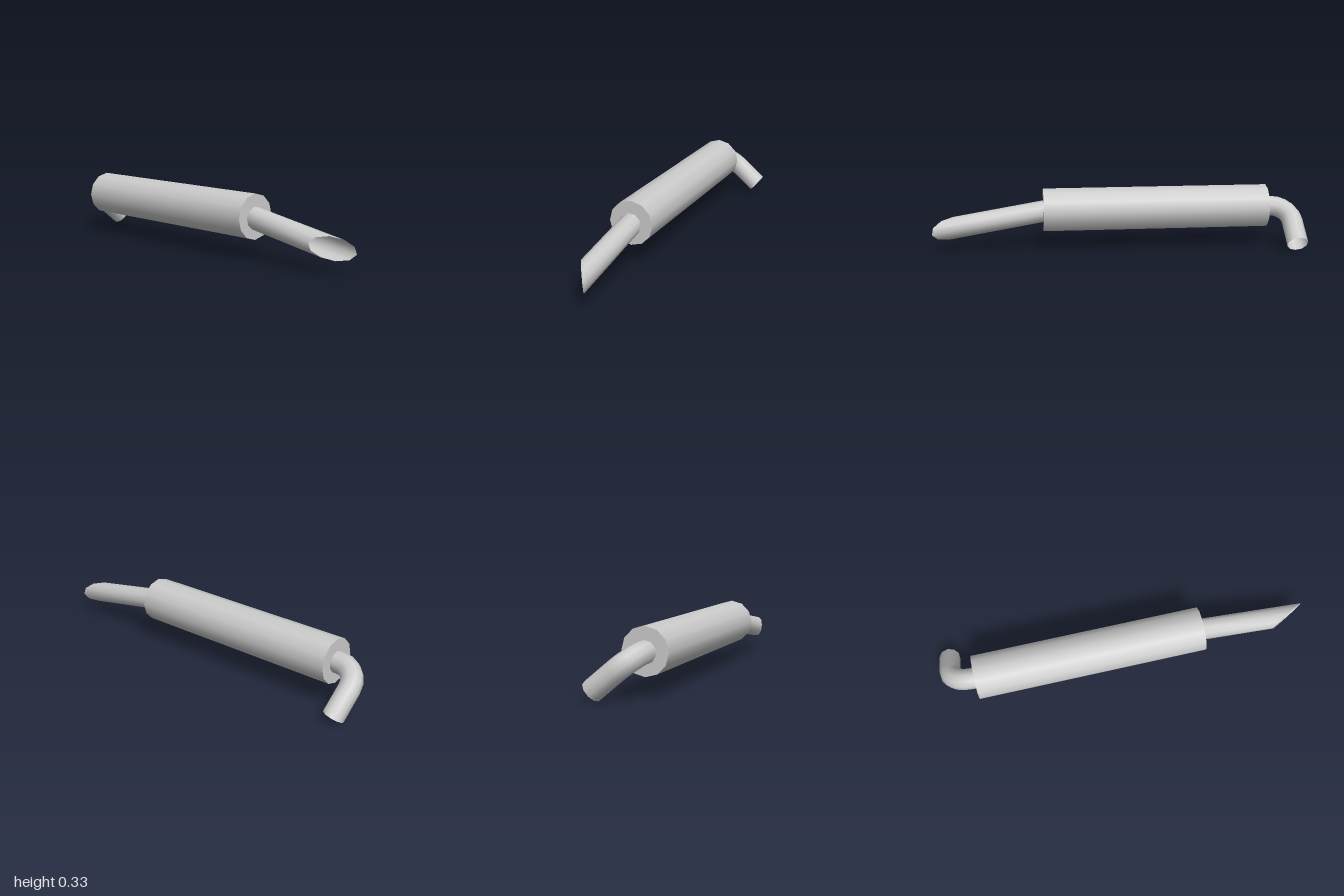
import * as THREE from 'three';
import { toCreasedNormals } from 'three/addons/utils/BufferGeometryUtils.js';

const SIDES = 10;
const PIPE_R = 0.058;

export function createModel() {
  const group = new THREE.Group();
  const solid = new THREE.MeshStandardMaterial({ color: 0xcccccc });
  const open = new THREE.MeshStandardMaterial({ color: 0xcccccc, side: THREE.DoubleSide });

  const add = (name, geometry, material, x, y, z) => {
    const mesh = new THREE.Mesh(geometry, material);
    mesh.name = name;
    mesh.position.set(x, y, z);
    group.add(mesh);
  };

  // Twelve-sided muffler drum lying along z
  const drum = new THREE.CylinderGeometry(0.118, 0.118, 1.22, 12).rotateX(Math.PI / 2);
  add('mufflerBody', drum, solid, -0.061, 0.218, -0.2);

  // Straight outlet pipe, sloping down, its open mouth cut at a slant
  const length = 0.512;
  const outlet = new THREE.CylinderGeometry(PIPE_R, PIPE_R, length, SIDES, 1, true)
    .rotateY(0.21)
    .rotateX(Math.PI / 2)
    .translate(0, 0, length / 2);
  const op = outlet.attributes.position;
  for (let i = 0; i < op.count; i++) {
    if (op.getZ(i) > length / 2) op.setZ(i, length + (0.1 * op.getX(i)) / PIPE_R);
  }
  outlet.rotateX(0.166);
  add('outletPipe', toCreasedNormals(outlet, 1), open, -0.063, 0.213, 0.4);

  // Inlet pipe: short straight, quarter bend, straight open end
  const bendR = 0.11, lead = 0.035, tail = 0.155, bendSteps = 5;
  const stations = [{ p: 0, q: 0, a: 0 }];
  for (let i = 0; i <= bendSteps; i++) {
    const a = (i / bendSteps) * Math.PI / 2;
    stations.push({ p: lead + bendR * Math.sin(a), q: bendR * (1 - Math.cos(a)), a });
  }
  stations.push({ p: lead + bendR, q: bendR + tail, a: Math.PI / 2 });

  const rings = stations.length - 1;
  const r = 0.056;
  const inlet = new THREE.CylinderGeometry(r, r, rings, SIDES, rings, true);
  const ip = inlet.attributes.position;
  for (let i = 0; i < ip.count; i++) {
    const { p, q, a } = stations[Math.round(ip.getY(i) + rings / 2)];
    const u = ip.getX(i);
    ip.setXYZ(i, q + u * Math.cos(a), p - u * Math.sin(a), ip.getZ(i));
  }
  // Lead runs to the rear, tail runs down and to the left
  const side = new THREE.Vector3(0.204, -0.17, 0).normalize();
  const back = new THREE.Vector3(0, 0, -1);
  inlet.applyMatrix4(new THREE.Matrix4().makeBasis(side, back, side.clone().cross(back)));
  add('inletPipe', toCreasedNormals(inlet, 1), open, -0.061, 0.215, -0.8);

  return group;
}
